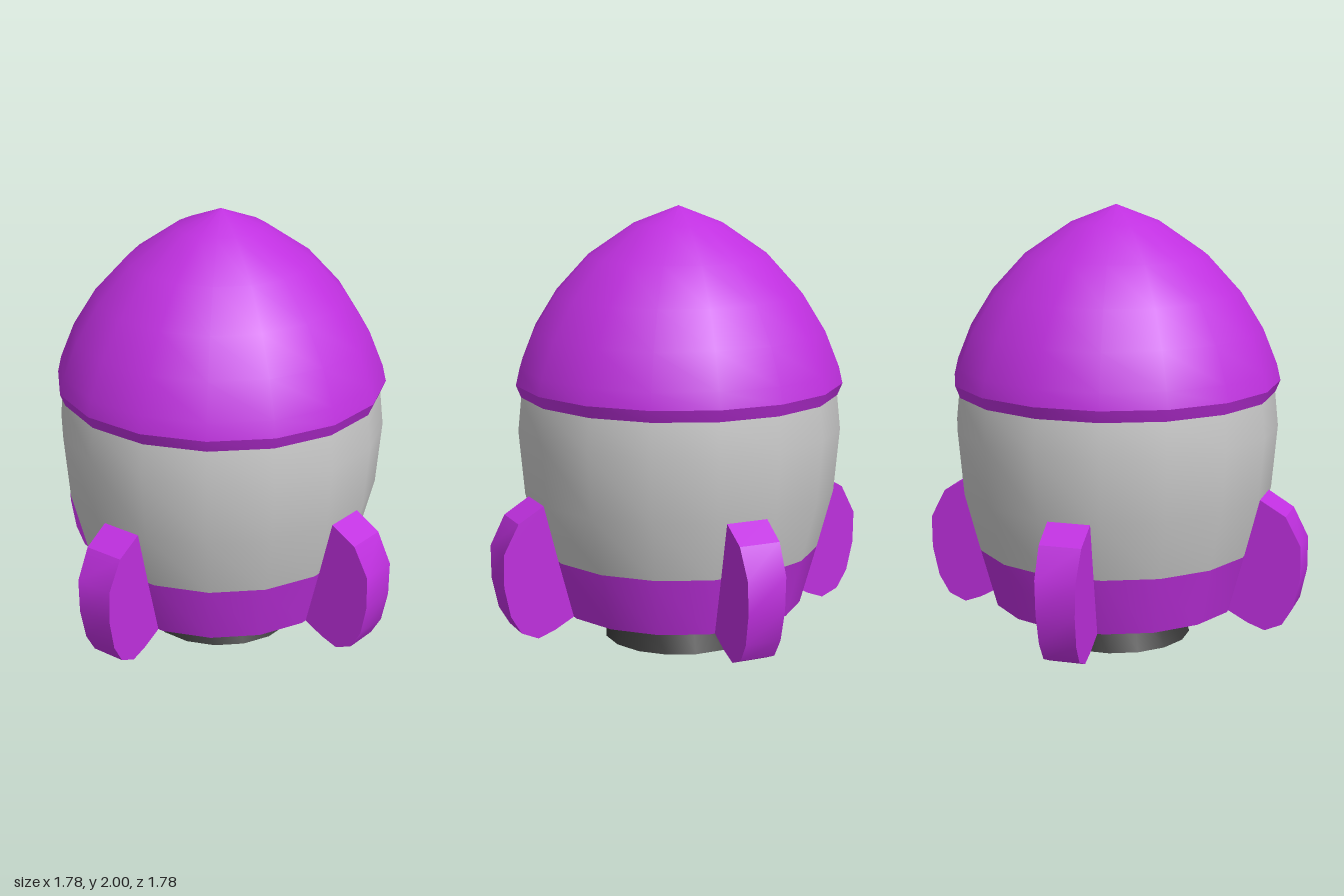
import * as THREE from 'three';
import { toCreasedNormals } from 'three/addons/utils/BufferGeometryUtils.js';

const SIDES = 16;
const CREASE = 0.5;
const purple = new THREE.MeshStandardMaterial({ color: 0xc030e0 });
const grey = new THREE.MeshStandardMaterial({ color: 0xcccccc });
const dark = new THREE.MeshStandardMaterial({ color: 0x363636 });

// Sixteen-sided turned part; radii are measured to the flat of each side
function turned(name, profile, material) {
  const scale = 1 / Math.cos(Math.PI / SIDES);
  const points = profile.map(([r, y]) => new THREE.Vector2(r * scale, y));
  const geometry = new THREE.LatheGeometry(points, SIDES, Math.PI / SIDES);
  const mesh = new THREE.Mesh(toCreasedNormals(geometry, CREASE), material);
  mesh.name = name;
  return mesh;
}

// Rounded fin plate, a little thinner towards its foot
function finGeometry() {
  const outline = [
    [0.5, 0.2], [0.56, 0.17], [0.65, 0.12], [0.73, 0.09], [0.81, 0.125], [0.86, 0.21],
    [0.89, 0.35], [0.89, 0.5], [0.82, 0.635], [0.7, 0.707], [0.62, 0.68],
  ].map(([x, y]) => new THREE.Vector2(x, y));
  const geometry = new THREE.ExtrudeGeometry(new THREE.Shape(outline), { depth: 2, bevelEnabled: false });
  geometry.translate(0, 0, -1);
  const p = geometry.attributes.position;
  for (let i = 0; i < p.count; i++) {
    p.setZ(i, p.getZ(i) * (0.078 + 0.026 * p.getY(i)));
  }
  return toCreasedNormals(geometry, CREASE);
}

export function createModel() {
  const model = new THREE.Group();
  model.name = 'rocket';

  model.add(
    // Domed nose with a turned-in rim
    turned('noseCone', [
      [0.7, 1.155], [0.713, 1.155], [0.735, 1.21], [0.718, 1.285], [0.655, 1.445],
      [0.555, 1.61], [0.407, 1.775], [0.2, 1.92], [0, 2],
    ], purple),
    // Barrel-shaped hull
    turned('hull', [[0.633, 0.44], [0.703, 0.71], [0.728, 1], [0.712, 1.16]], grey),
    // Coloured base band with closed underside
    turned('baseBand', [[0, 0.17], [0.56, 0.17], [0.633, 0.44]], purple),
    // Flared engine nozzle with a small recess
    turned('nozzle', [[0, 0.08], [0.11, 0.08], [0.12, 0], [0.34, 0], [0.272, 0.175]], dark),
  );

  // Four fins around the hull
  const fin = finGeometry();
  ['leftFin', 'backFin', 'rightFin', 'frontFin'].forEach((name, i) => {
    const mesh = new THREE.Mesh(fin, purple);
    mesh.name = name;
    mesh.rotation.y = (i * Math.PI) / 2;
    model.add(mesh);
  });

  return model;
}
